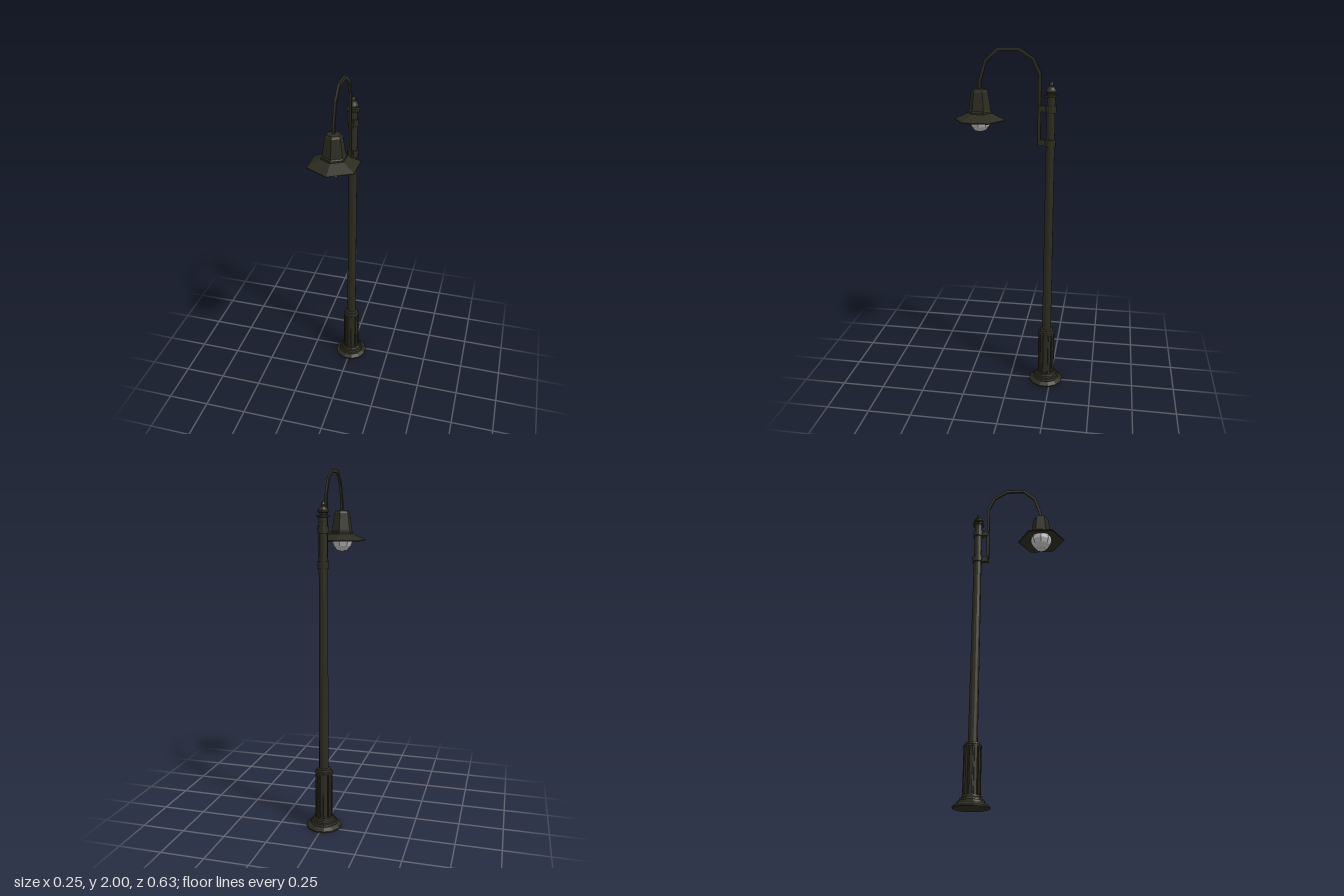
import * as THREE from 'three';

const POST_Z = -0.22, LAMP_Z = 0.172;

export function createModel() {
  const group = new THREE.Group();
  const iron = new THREE.MeshStandardMaterial({ color: 0x2c2b20, flatShading: true });
  iron.name = 'dark iron';
  const glass = new THREE.MeshStandardMaterial({ color: 0xbdbdbd, flatShading: true });
  glass.name = 'frosted glass';

  const add = (name, geometry, material, x = 0, y = 0, z = 0) => {
    const mesh = new THREE.Mesh(geometry, material);
    mesh.name = name;
    mesh.position.set(x, y, z);
    group.add(mesh);
    return mesh;
  };
  // Turned part from [radius, height] pairs, listed bottom to top on the outside
  const turned = (name, profile, sides, z, material = iron) => {
    const geo = new THREE.LatheGeometry(profile.map(([r, y]) => new THREE.Vector2(r, y)), sides);
    if (sides === 12) geo.rotateY(Math.PI / 12);
    return add(name, geo, material, 0, 0, z);
  };

  // Stepped foot
  turned('foot', [[0, 0], [0.101, 0], [0.101, 0.008], [0.084, 0.023], [0.078, 0.025], [0.074, 0.037],
    [0.066, 0.04], [0.063, 0.05], [0.054, 0.055], [0.052, 0.066], [0, 0.066]], 12, POST_Z);

  // Fluted plinth: twelve raised ribs around a core
  const flutes = new THREE.Shape();
  for (let i = 0; i < 12; i++) {
    [[-0.18, 0.042], [-0.17, 0.049], [0.17, 0.049], [0.18, 0.042]].forEach(([da, r], k) => {
      const a = i * Math.PI / 6 + da;
      flutes[i + k ? 'lineTo' : 'moveTo'](r * Math.cos(a), r * Math.sin(a));
    });
  }
  flutes.closePath();
  const plinth = new THREE.ExtrudeGeometry(flutes, { depth: 0.265, bevelEnabled: false });
  plinth.rotateX(-Math.PI / 2);
  add('flutedPlinth', plinth, iron, 0, 0.06, POST_Z);

  turned('plinthCollar', [[0, 0.322], [0.051, 0.322], [0.051, 0.332], [0.042, 0.336], [0.039, 0.348],
    [0.027, 0.352], [0, 0.352]], 12, POST_Z);

  // Slightly tapering post
  turned('post', [[0, 0.34], [0.027, 0.34], [0.027, 0.95], [0.0235, 1.0], [0.0235, 1.735], [0, 1.735]]
    .map(([r, y]) => [y > 0.9 && y < 1.1 ? 0.0253 : r, y]), 12, POST_Z);

  // Finial on the post
  turned('finial', [[0, 1.73], [0.024, 1.73], [0.024, 1.743], [0.036, 1.745], [0.036, 1.755], [0.02, 1.757],
    [0.02, 1.766], [0.03, 1.77], [0.03, 1.78], [0.02, 1.795], [0.01, 1.802], [0.012, 1.812],
    [0.007, 1.824], [0, 1.828]], 12, POST_Z);

  // Clamps that hold the arm
  for (const [name, y] of [['lowerClamp', 1.495], ['upperClamp', 1.68]]) {
    turned(name, [[0, y - 0.02], [0.031, y - 0.02], [0.031, y + 0.02], [0, y + 0.02]], 12, POST_Z);
    add(name + 'Bracket', new THREE.BoxGeometry(0.02, 0.034, 0.05), iron, 0, y, -0.182);
  }

  // Bent arm: a mitred strip along the path, extruded sideways
  const path = [[-0.158, 1.476], [-0.158, 1.865], [-0.122, 1.943], [-0.045, 1.992], [0.068, 1.992],
    [0.138, 1.927], [0.168, 1.825], [0.173, 1.765]].map(([z, y]) => new THREE.Vector2(z, y));
  const side = (s) => path.map((p, i) => {
    const a = p.clone().sub(path[Math.max(i - 1, 0)]).normalize();
    const b = path[Math.min(i + 1, path.length - 1)].clone().sub(p).normalize();
    const t = a.clone().add(b).normalize();
    const w = 0.0085 / Math.max(t.dot(i ? a : b), 0.5);
    return new THREE.Vector2(p.x - s * t.y * w, p.y + s * t.x * w);
  });
  const arm = new THREE.ExtrudeGeometry(new THREE.Shape([...side(1), ...side(-1).reverse()]),
    { depth: 0.013, bevelEnabled: false });
  arm.translate(0, 0, -0.0065);
  arm.rotateY(-Math.PI / 2);
  add('arm', arm, iron);

  // Six-sided shade with a hollow underside
  turned('shade', [[0, 1.635], [0.062, 1.635], [0.139, 1.607], [0.143, 1.609], [0.143, 1.613], [0.068, 1.648],
    [0.068, 1.658], [0.062, 1.664], [0.047, 1.765], [0.039, 1.778], [0.02, 1.782], [0, 1.782]], 6, LAMP_Z);

  // Faceted glass bowl
  turned('bulb', [[0, 1.545], [0.03, 1.552], [0.053, 1.578], [0.064, 1.605], [0.06, 1.64]], 8, LAMP_Z, glass);

  return group;
}
